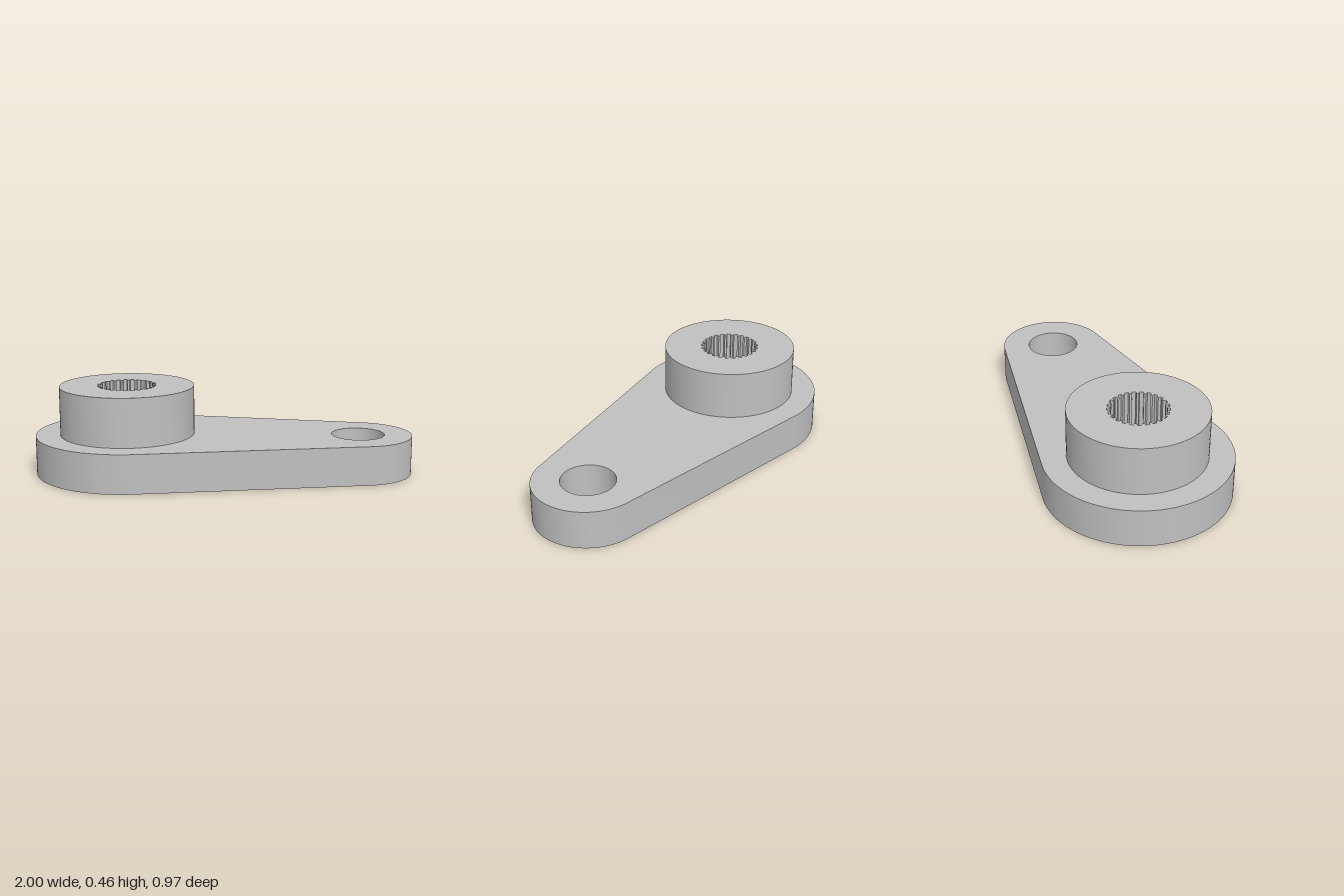
import * as THREE from 'three';
import { toCreasedNormals } from 'three/addons/utils/BufferGeometryUtils.js';

const HUB_X = -0.514, HUB_R = 0.486;   // wide end of the arm
const TIP_X = 0.715, TIP_R = 0.285;    // narrow end of the arm

const circle = (PathType, x, r) => new PathType().absarc(x, 0, r, 0, Math.PI * 2, false);

// Extrude a plan outline upwards from y0 to y1
function slab(name, shape, y0, y1, material) {
  const extruded = new THREE.ExtrudeGeometry(shape, { depth: y1 - y0, bevelEnabled: false, curveSegments: 48 });
  extruded.rotateX(-Math.PI / 2).translate(0, y0, 0);
  const mesh = new THREE.Mesh(toCreasedNormals(extruded, 0.5), material);
  mesh.name = name;
  return mesh;
}

// Toothed outline of the splined socket
function splinePath(x, inner, outer, teeth) {
  const points = [];
  const step = (Math.PI * 2) / teeth;
  for (let i = 0; i < teeth; i++) {
    for (const [offset, r] of [[-0.3, outer], [0, outer], [0.2, outer], [0.3, inner], [0.6, inner]]) {
      const a = (i + offset) * step;
      points.push(new THREE.Vector2(x + r * Math.cos(a), r * Math.sin(a)));
    }
  }
  return new THREE.Path(points);
}

export function createModel() {
  const group = new THREE.Group();
  group.name = 'splinedArm';
  const grey = new THREE.MeshStandardMaterial({ color: 0xc0c0c0 });
  grey.name = 'grey';

  // Tapered arm: two arcs joined by their common tangents
  const tangent = Math.acos((HUB_R - TIP_R) / (TIP_X - HUB_X));
  const outline = new THREE.Shape();
  outline.absarc(TIP_X, 0, TIP_R, -tangent, tangent, false);
  outline.absarc(HUB_X, 0, HUB_R, tangent, Math.PI * 2 - tangent, false);
  outline.closePath();
  outline.holes.push(circle(THREE.Path, HUB_X, 0.16), circle(THREE.Path, TIP_X, 0.14));
  group.add(slab('armPlate', outline, 0, 0.205, grey));

  // Raised boss with the splined socket
  const boss = circle(THREE.Shape, HUB_X, 0.357);
  boss.holes.push(splinePath(HUB_X, 0.141, 0.156, 25));
  group.add(slab('boss', boss, 0.205, 0.463, grey));

  // Web between the socket and the counterbore, with a screw hole
  const web = circle(THREE.Shape, HUB_X, 0.162);
  web.holes.push(circle(THREE.Path, HUB_X, 0.09));
  group.add(slab('screwWeb', web, 0.187, 0.257, grey));

  return group;
}
